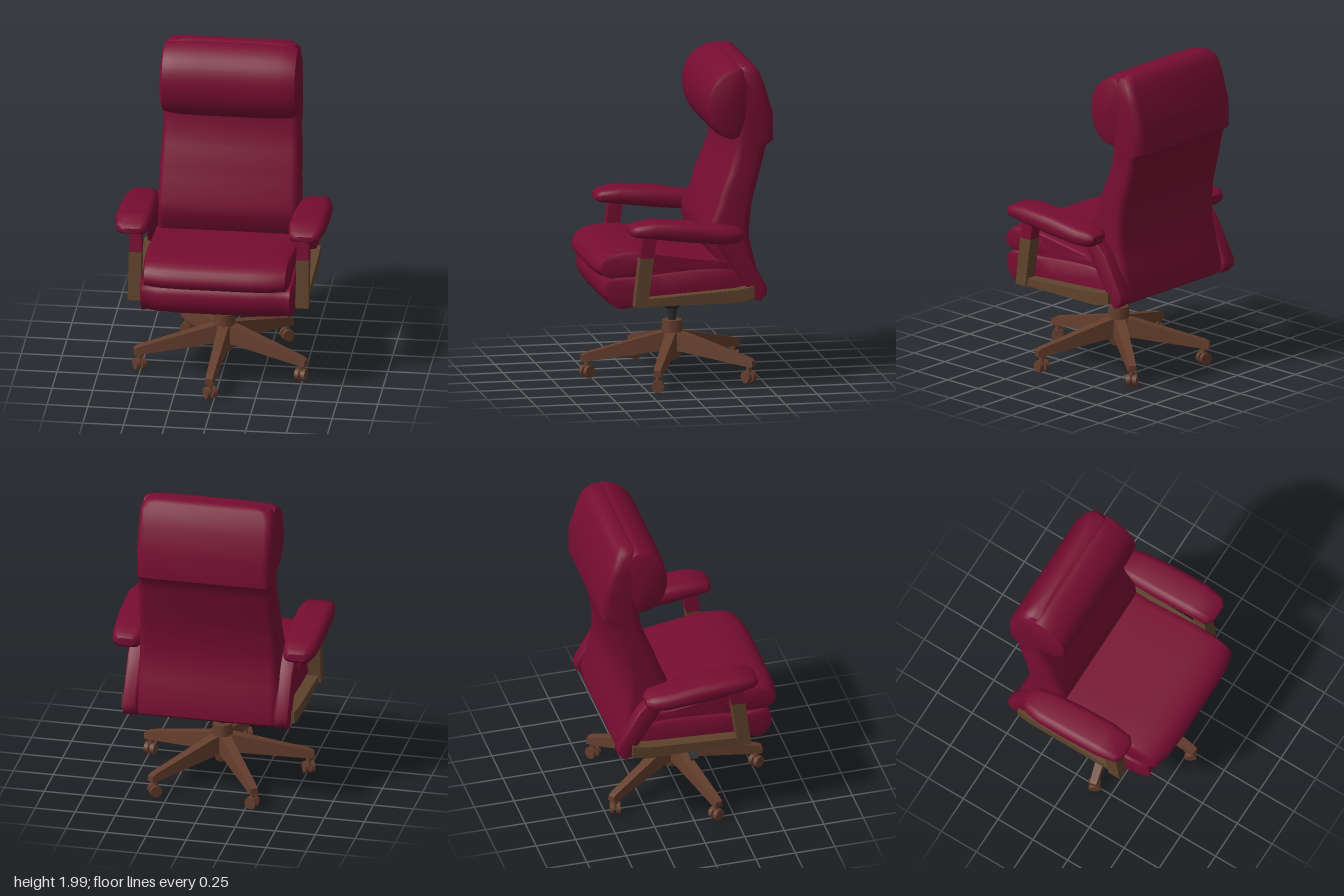
import * as THREE from 'three';
import { toCreasedNormals } from 'three/addons/utils/BufferGeometryUtils.js';

const V = (x, y, z) => new THREE.Vector3(x, y, z);

// Closed skin through equal-length rings of points, capped at both ends.
function loft(rings, crease = 0.75) {
  const n = rings[0].length, m = rings.length, pts = rings.flat(), idx = [];
  for (let i = 0; i < m - 1; i++) {
    for (let j = 0; j < n; j++) {
      const a = i * n + j, b = i * n + (j + 1) % n;
      idx.push(a, b, b + n, a, b + n, a + n);
    }
  }
  for (const end of [0, m - 1]) {
    const c = V(0, 0, 0);
    rings[end].forEach((p) => c.addScaledVector(p, 1 / n));
    pts.push(c);
    for (let j = 0; j < n; j++) {
      const a = end * n + j, b = end * n + (j + 1) % n;
      if (end) idx.push(a, b, pts.length - 1);
      else idx.push(b, a, pts.length - 1);
    }
  }
  // Turn the faces outward if the enclosed volume comes out negative.
  let volume = 0;
  const cross = V(0, 0, 0);
  for (let i = 0; i < idx.length; i += 3) {
    volume += pts[idx[i]].dot(cross.crossVectors(pts[idx[i + 1]], pts[idx[i + 2]]));
  }
  if (volume < 0) idx.reverse();
  const g = new THREE.BufferGeometry().setFromPoints(pts);
  g.setIndex(idx);
  return toCreasedNormals(g.toNonIndexed(), crease);
}

// Rounded rectangle as [u, v] pairs.
function roundRect(u0, u1, v0, v1, r, steps = 4) {
  const out = [];
  r = Math.min(r, (u1 - u0) / 2.05, (v1 - v0) / 2.05);
  const corners = [[u1 - r, v1 - r], [u0 + r, v1 - r], [u0 + r, v0 + r], [u1 - r, v0 + r]];
  corners.forEach(([u, v], k) => {
    for (let i = 0; i <= steps; i++) {
      const a = (k + i / steps) * Math.PI / 2;
      out.push([u + r * Math.cos(a), v + r * Math.sin(a)]);
    }
  });
  return out;
}

// Cushion with a side profile of [z, y] points, swept along x with rounded ends.
function cushion(profile, half, endScale = 0.72) {
  const curve = new THREE.CatmullRomCurve3(profile.map(([z, y]) => V(0, y, z)), true, 'centripetal');
  const pts = curve.getPoints(40).slice(0, -1);
  const c = new THREE.Box3().setFromPoints(pts).getCenter(V(0, 0, 0));
  const ends = [[half, endScale], [half - 0.012, endScale + 0.13], [half - 0.045, 0.95], [half - 0.11, 0.985], [half - 0.24, 1]];
  const stations = [...ends.map(([x, s]) => [-x, s]), ...ends.reverse()];
  return loft(stations.map(([x, s]) => pts.map((p) => p.clone().sub(c).multiplyScalar(s).add(c).setX(x))));
}

// Four-sided bar between two rectangles in the xz plane: [y, x0, x1, z0, z1].
const bar = (...rows) => loft(rows.map(([y, x0, x1, z0, z1]) =>
  [V(x0, y, z0), V(x1, y, z0), V(x1, y, z1), V(x0, y, z1)]), 0.4);

export function createModel() {
  const root = new THREE.Group();
  const material = (name, color) => {
    const m = new THREE.MeshStandardMaterial({ color });
    m.name = name;
    return m;
  };
  const leather = material('burgundy leather', 0x760d31);
  const armWood = material('olive brown wood', 0x5f432c);
  const baseWood = material('red brown wood', 0x633d2c);
  const black = material('black metal', 0x2b2d2d);
  const add = (name, geo, mat, parent = root) => {
    const mesh = new THREE.Mesh(geo, mat);
    mesh.name = name;
    parent.add(mesh);
    return mesh;
  };

  // Backrest: rows of [y, front z, back z, half width]
  const back = [
    [0.55, -0.37, -0.44, 0.42], [0.57, -0.33, -0.465, 0.44], [0.64, -0.28, -0.465, 0.445], [0.8, -0.19, -0.425, 0.44],
    [0.92, -0.135, -0.4, 0.435], [1.0, -0.14, -0.4, 0.435], [1.13, -0.2, -0.415, 0.43],
    [1.2, -0.215, -0.43, 0.43], [1.32, -0.265, -0.465, 0.425], [1.42, -0.3, -0.49, 0.42],
    [1.49, -0.31, -0.51, 0.42], [1.52, -0.315, -0.55, 0.42], [1.69, -0.32, -0.55, 0.42],
    [1.84, -0.32, -0.505, 0.42], [1.94, -0.32, -0.468, 0.415], [1.98, -0.33, -0.44, 0.39], [1.995, -0.35, -0.41, 0.32],
  ];
  add('backrest', loft(back.map(([y, f, b, w]) =>
    roundRect(-w, w, b, f, 0.05).map(([x, z]) => V(x, y, z)))), leather);

  add('headrest', cushion([[-0.35, 1.99], [-0.25, 1.965], [-0.17, 1.89], [-0.135, 1.79], [-0.14, 1.68], [-0.18, 1.59],
    [-0.25, 1.535], [-0.33, 1.525], [-0.38, 1.6], [-0.41, 1.9]], 0.42, 0.78), leather);

  // Seat
  add('seatCushion', cushion([[0.565, 0.77], [0.52, 0.84], [0.35, 0.875], [0.1, 0.845], [-0.2, 0.8], [-0.32, 0.79],
    [-0.34, 0.72], [0, 0.69], [0.35, 0.69], [0.5, 0.705], [0.55, 0.73]], 0.445, 0.8), leather);
  add('seatBase', cushion([[0.515, 0.66], [0.49, 0.705], [0.3, 0.72], [-0.33, 0.73], [-0.42, 0.62], [-0.38, 0.565],
    [0, 0.55], [0.3, 0.535], [0.44, 0.52], [0.505, 0.58]], 0.468, 0.84), leather);

  // Arms, one on each side
  const pad = [
    [0.378, 0.47, 0.59, 1.005, 1.035], [0.35, 0.435, 0.625, 0.99, 1.06], [0.23, 0.42, 0.645, 0.975, 1.08],
    [0, 0.42, 0.645, 0.945, 1.062], [-0.2, 0.428, 0.638, 0.925, 1.03],
    [-0.29, 0.445, 0.62, 0.925, 1.018], [-0.322, 0.48, 0.59, 0.95, 0.995],
  ];
  for (const s of [1, -1]) {
    const arm = new THREE.Group();
    arm.name = s > 0 ? 'leftArm' : 'rightArm';
    root.add(arm);
    add('armPad', loft(pad.map(([z, x0, x1, y0, y1]) =>
      roundRect(x0, x1, y0, y1, 0.048).map(([x, y]) => V(s * x, y, z)))), leather, arm);
    add('frontPost', bar([0.545, s * 0.475, s * 0.555, 0.265, 0.345], [0.85, s * 0.475, s * 0.552, 0.225, 0.31]), armWood, arm);
    add('frontPostCover', bar([0.85, s * 0.475, s * 0.552, 0.225, 0.31], [1.0, s * 0.478, s * 0.55, 0.205, 0.29]), leather, arm);
    add('sideRail', loft([[0.3, 0.545, 0.59], [-0.3, 0.545, 0.625], [-0.4, 0.57, 0.645]].map(([z, y0, y1]) =>
      [V(s * 0.43, y0, z), V(s * 0.54, y0, z), V(s * 0.54, y1, z), V(s * 0.43, y1, z)]), 0.4), armWood, arm);
    // Slanted rear strut from the pad down to the back corner of the seat
    const strut = [[0.97, -0.25, -0.14], [0.88, -0.345, -0.2], [0.63, -0.488, -0.36], [0.585, -0.485, -0.39], [0.55, -0.45, -0.42]];
    add('rearStrut', loft(strut.map(([y, z0, z1]) =>
      roundRect(0.425, 0.52, z0, z1, 0.02, 2).map(([x, z]) => V(s * x, y, z)))), leather, arm);
  }

  // Tilt mechanism under the seat
  const box = (name, w, h, d, x, y, z, mat = black) => {
    const mesh = add(name, new THREE.BoxGeometry(w, h, d), mat);
    mesh.position.set(x, y, z);
    return mesh;
  };
  box('seatPlate', 0.66, 0.03, 0.52, 0, 0.535, 0.01);
  box('plateFrontLip', 0.36, 0.03, 0.06, 0, 0.515, 0.24);
  add('tiltHousing', bar([0.455, -0.08, 0.08, -0.13, 0.13], [0.5, -0.13, 0.13, -0.17, 0.17], [0.53, -0.18, 0.18, -0.21, 0.21]), black);
  add('columnSocket', new THREE.CylinderGeometry(0.075, 0.04, 0.05, 10), black).position.set(0, 0.44, 0);
  add('gasColumn', new THREE.CylinderGeometry(0.033, 0.022, 0.13, 10), black).position.set(0, 0.385, 0);
  const lever = (name, pts, r) => add(name,
    new THREE.TubeGeometry(new THREE.CatmullRomCurve3(pts), 8, r, 6), black);
  lever('heightLever', [V(-0.08, 0.49, 0.02), V(-0.3, 0.465, 0.02), V(-0.42, 0.43, 0.02)], 0.009);
  const paddle = box('leverPaddle', 0.12, 0.014, 0.05, -0.39, 0.435, 0.02);
  paddle.rotation.z = 0.3;
  lever('tiltLever', [V(0.08, 0.47, 0.02), V(0.18, 0.485, 0.02), V(0.29, 0.5, 0.02)], 0.008);

  // Five-spoke base
  add('hub', new THREE.CylinderGeometry(0.062, 0.07, 0.15, 8), baseWood).position.y = 0.27;
  add('hubFoot', new THREE.CylinderGeometry(0.075, 0.045, 0.1, 8), baseWood).position.y = 0.15;
  const spokeRows = [[0.02, 0.042, 0.16, 0.28], [0.1, 0.04, 0.155, 0.265], [0.53, 0.028, 0.103, 0.155], [0.56, 0.026, 0.102, 0.14]];
  const spokeGeo = loft(spokeRows.map(([r, w, y0, y1]) =>
    [V(-w, y0, r), V(w, y0, r), V(w * 0.8, y1, r), V(-w * 0.8, y1, r)]), 0.4);
  const wheelGeo = new THREE.CylinderGeometry(0.038, 0.038, 0.026, 10).rotateZ(Math.PI / 2);
  for (let i = 0; i < 5; i++) {
    const leg = new THREE.Group();
    leg.name = 'baseLeg' + (i + 1);
    leg.rotation.y = (-3 + 72 * i) * Math.PI / 180;
    root.add(leg);
    add('spoke', spokeGeo, baseWood, leg);
    const caster = new THREE.Group();
    caster.name = 'caster';
    caster.position.set(0, 0.046, 0.525);
    caster.rotation.y = 0.6 + i * 1.1;
    leg.add(caster);
    for (const s of [-1, 1]) add('wheel', wheelGeo, baseWood, caster).position.set(s * 0.02, -0.008, 0);
    add('casterStem', new THREE.CylinderGeometry(0.014, 0.02, 0.07, 8), baseWood, caster).position.y = 0.03;
  }
  return root;
}
